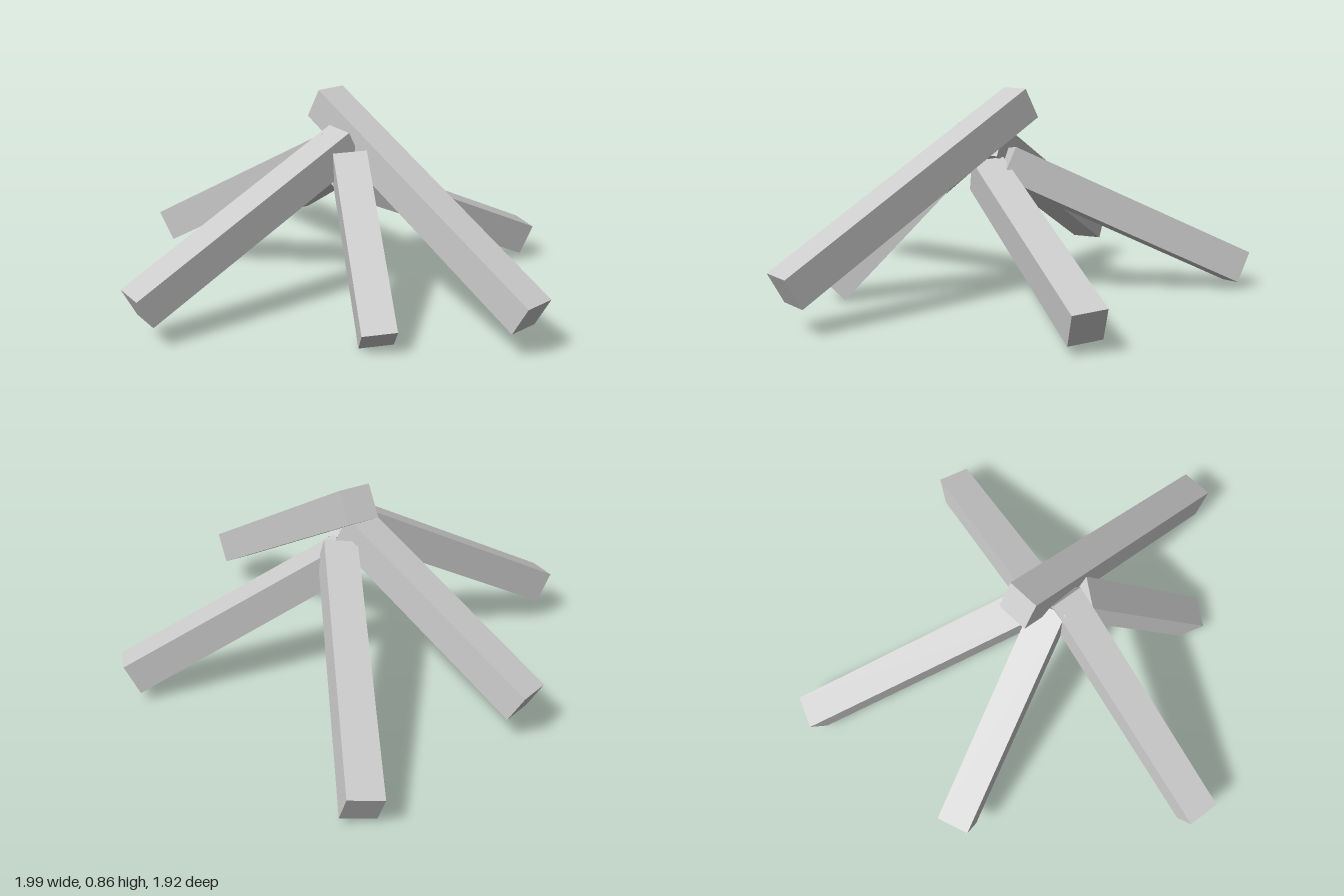
import * as THREE from 'three';

const THICK = 0.137;

// Square beam between two end centres; "across" is the edge direction that sets its roll.
function beam(name, low, high, across, material) {
  const a = new THREE.Vector3(...low);
  const b = new THREE.Vector3(...high);
  const dir = b.clone().sub(a);
  const length = dir.length();
  dir.normalize();
  const side = new THREE.Vector3(...across);
  side.addScaledVector(dir, -side.dot(dir)).normalize();
  const normal = new THREE.Vector3().crossVectors(side, dir);
  const mesh = new THREE.Mesh(new THREE.BoxGeometry(THICK, length, THICK), material);
  mesh.quaternion.setFromRotationMatrix(new THREE.Matrix4().makeBasis(side, dir, normal));
  mesh.position.copy(a).add(b).multiplyScalar(0.5);
  mesh.name = name;
  return mesh;
}

export function createModel() {
  const group = new THREE.Group();
  group.name = 'leaningBeams';
  const material = new THREE.MeshStandardMaterial({ color: 0xcccccc, flatShading: true });

  // Beams leaning together: low end, high end, roll direction
  const beams = [
    ['topBeam', [0.963, 0.18, -0.068], [-0.145, 0.81, -0.068], [0, 0, 1]],
    ['frontBeam', [-0.118, 0.168, 0.925], [0.037, 0.675, -0.01], [0.125, -0.005, 0.018]],
    ['frontRightBeam', [-0.84, 0.173, 0.236], [-0.01, 0.655, -0.012], [0.04, -0.005, 0.13]],
    ['backRightBeam', [-0.94, 0.094, -0.573], [-0.036, 0.569, -0.098], [0.055, 0.02, -0.125]],
    ['backBeam', [0.26, 0.113, -0.91], [0.01, 0.523, -0.034], [0.13, -0.015, 0.035]],
    ['frontLeftBeam', [0.543, 0.062, 0.305], [0.093, 0.617, 0.025], [0.075, 0.01, -0.11]],
  ];
  for (const [name, low, high, across] of beams) {
    group.add(beam(name, low, high, across, material));
  }
  return group;
}
